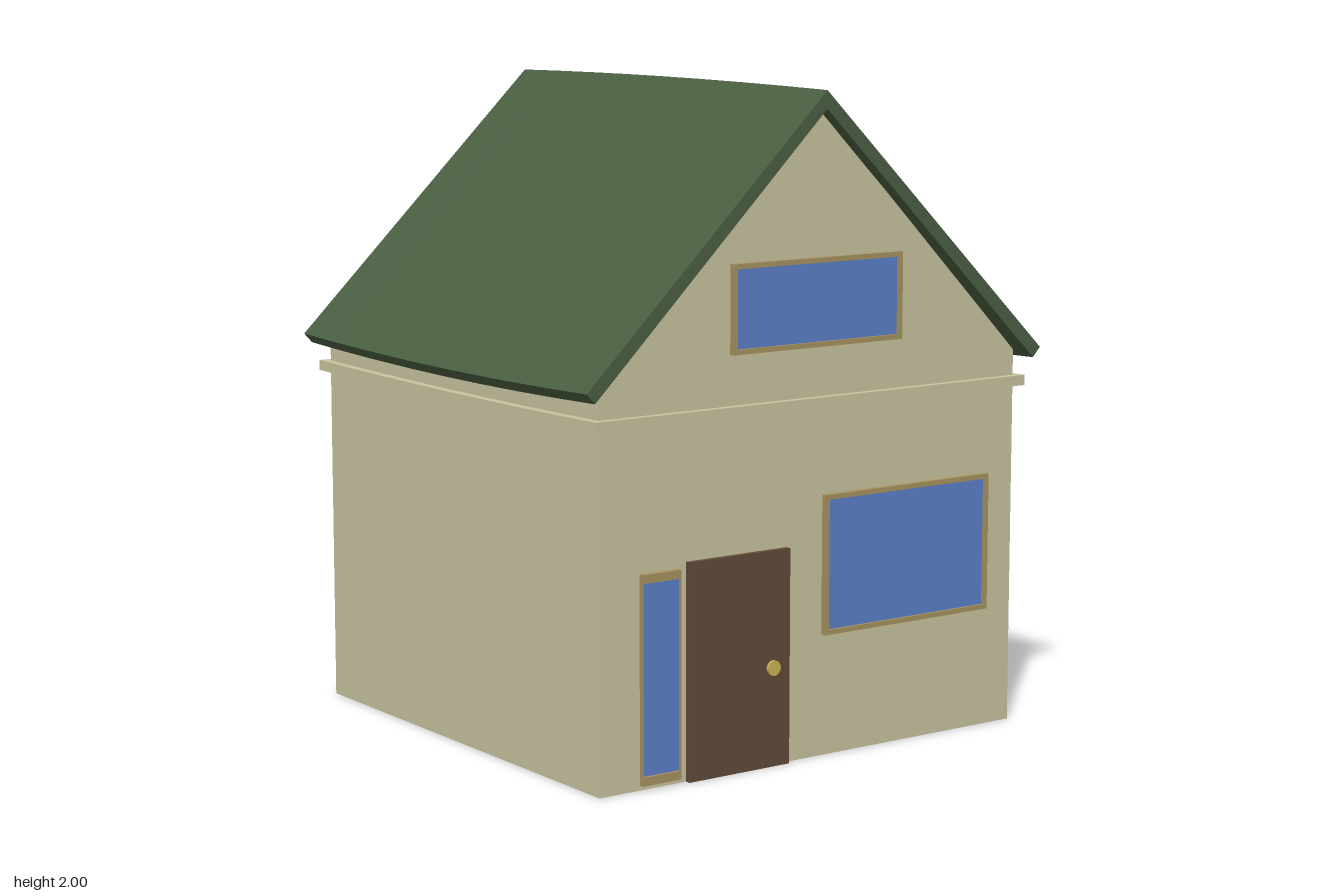
import * as THREE from 'three';

const mat = (color, extra = {}) => new THREE.MeshStandardMaterial({ color, ...extra });
const wallMat = mat(0xc9c49f), roofMat = mat(0x4a5f42);
const frameMat = mat(0xa8935f), glassMat = mat(0x5b80cc);
const doorMat = mat(0x614b3a), knobMat = mat(0xccb255);

const WALL_X = 0.755, WALL_Z = 0.775;

function mesh(name, geometry, material, parent) {
  const m = new THREE.Mesh(geometry, material);
  m.name = name;
  parent.add(m);
  return m;
}

// Extrudes a closed [z, y] profile along x, centred on x = 0
function alongX(profile, length, steps = 1) {
  const shape = new THREE.Shape(profile.map(([z, y]) => new THREE.Vector2(z, y)));
  const g = new THREE.ExtrudeGeometry(shape, { depth: length, steps, bevelEnabled: false });
  return g.rotateY(-Math.PI / 2).translate(length / 2, 0, 0);
}

// Shifts vertices vertically, most at x = 0 and none at the ends
function bow(g, half, amount) {
  const p = g.attributes.position;
  for (let i = 0; i < p.count; i++) {
    const t = 1 - (p.getX(i) / half) ** 2;
    p.setY(i, p.getY(i) + t * amount(p.getY(i)));
  }
  g.computeVertexNormals();
  return g;
}

function rect(path, x0, y0, x1, y1) {
  path.moveTo(x0, y0).lineTo(x1, y0).lineTo(x1, y1).lineTo(x0, y1).closePath();
  return path;
}

// Framed pane; u runs rightwards as seen when facing the gable wall
function addWindow(name, parent, u0, y0, u1, y1, bu = 0.015, by = 0.015) {
  const w = new THREE.Group();
  w.name = name;
  const outline = rect(new THREE.Shape(), u0, y0, u1, y1);
  outline.holes.push(rect(new THREE.Path(), u0 + bu, y0 + by, u1 - bu, y1 - by));
  mesh('windowFrame', new THREE.ExtrudeGeometry(outline, { depth: 0.017, bevelEnabled: false }), frameMat, w);
  const pane = new THREE.BoxGeometry(u1 - u0 - 2 * bu, y1 - y0 - 2 * by, 0.008);
  mesh('windowGlass', pane, glassMat, w).position.set((u0 + u1) / 2, (y0 + y1) / 2, 0.004);
  parent.add(w);
}

export function createModel() {
  const house = new THREE.Group();
  house.name = 'house';

  // Walls with the two gables
  mesh('walls', alongX([
    [-WALL_Z, 0], [WALL_Z, 0], [WALL_Z, 1.17], [0, 1.945], [-WALL_Z, 1.17],
  ], WALL_X * 2), wallMat, house);

  // Trim band around the house, slightly bowed on the long sides
  const band = new THREE.BoxGeometry(1.56, 0.032, 1.605, 8, 1, 1).toNonIndexed();
  band.translate(0, 1.075, 0);
  mesh('trimBand', bow(band, 0.78, () => -0.007), wallMat, house);

  // Gabled roof shell: eaves sag and the ridge rises a little mid-length
  const roof = alongX([
    [0, 1.992], [-0.845, 1.177], [-0.817, 1.147], [0, 1.938], [0.817, 1.147], [0.845, 1.177],
  ], 1.6, 8);
  const sag = y => THREE.MathUtils.mapLinear(y, 1.16, 1.992, -0.015, 0.008);
  mesh('roof', bow(roof, 0.8, sag), roofMat, house);

  // Gable sides: local +z points out of the wall
  const [entrance, farSide] = [1, -1].map(s => {
    const side = new THREE.Group();
    side.name = s > 0 ? 'entranceSide' : 'farSide';
    side.rotation.y = s * Math.PI / 2;
    side.position.x = s * WALL_X;
    addWindow('gableWindow', side, -0.315, 1.24, 0.315, 1.503);
    house.add(side);
    return side;
  });
  addWindow('mainWindow', entrance, 0.028, 0.37, 0.668, 0.795);
  addWindow('sidelight', entrance, -0.635, 0.015, -0.5, 0.635, 0.002, 0.026);
  addWindow('wideWindow', farSide, -0.6, 0.445, 0.64, 0.87);

  // Door and knob
  mesh('door', new THREE.BoxGeometry(0.366, 0.652, 0.018), doorMat, entrance)
    .position.set(-0.288, 0.326, 0.009);
  const knob = new THREE.CylinderGeometry(0.023, 0.023, 0.01, 24).rotateX(Math.PI / 2);
  mesh('doorKnob', knob, knobMat, entrance).position.set(-0.168, 0.3, 0.022);

  return house;
}
